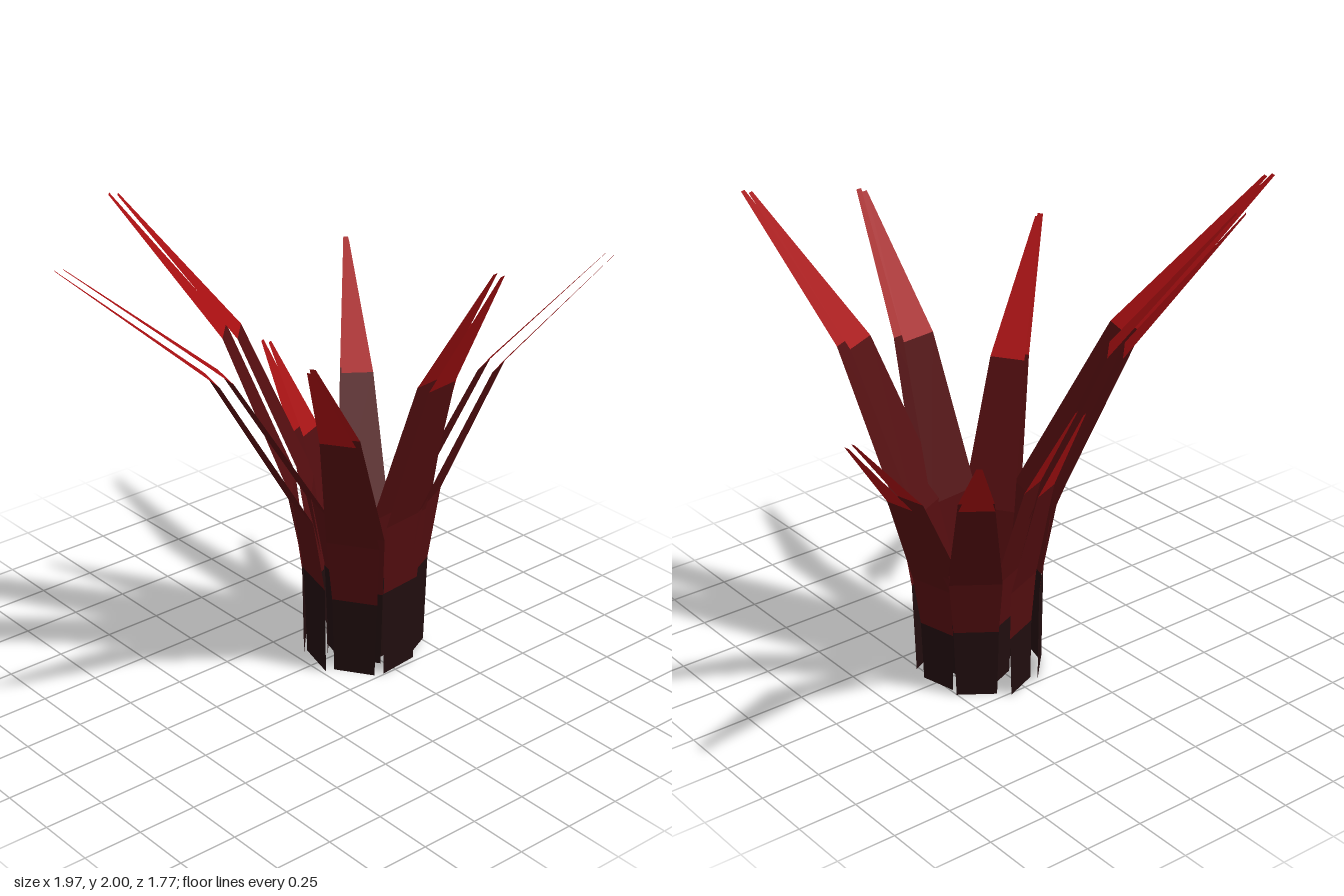
import * as THREE from 'three';

const mat = (name, color) => {
  const m = new THREE.MeshStandardMaterial({ color, flatShading: true, side: THREE.DoubleSide });
  m.name = name;
  return m;
};

// Leaf rows from base to tip: height and reach as fractions, then width and sheet gap
const ROWS = [
  { v: 0, u: 0, w: 0.19, gap: 0.1 },
  { v: 0.205, u: 0.015, w: 0.21, gap: 0.09 },
  { v: 0.375, u: 0.075, w: 0.245, gap: 0.08 },
  { v: 0.715, u: 0.43, w: 0.16, gap: 0.06 },
  { v: 1, u: 1, w: 0.025, gap: 0.035 },
];
const BAND_MATERIAL = [0, 1, 1, 2];

// Leaf tips, in order around the rosette (x, height, z)
const TIPS = [
  [0.76, 1.92, 0.88], [0.33, 1.88, 0.71], [-0.45, 1.65, 0.53], [-0.98, 1.93, -0.29],
  [-0.45, 2.0, -0.69], [0.15, 1.28, -0.49], [0.94, 1.43, -0.88], [0.98, 1.25, -0.12],
];
const CENTRE_X = 0.275, BASE_RADIUS = 0.185;

// A leaf is an outer and an inner sheet, open along its sides
function leafGeometry([tx, height, tz], angle) {
  const bx = CENTRE_X + BASE_RADIUS * Math.cos(angle);
  const bz = BASE_RADIUS * Math.sin(angle);
  const length = Math.hypot(tx - bx, tz - bz);
  const dx = (tx - bx) / length, dz = (tz - bz) / length;
  const reach = length - ROWS[4].gap / 2;
  const scale = 0.5 + 0.25 * height;
  const point = (row, side, sheet) => {
    const r = row.u * reach + sheet * row.gap / 2;
    const s = side * row.w * scale / 2;
    return [bx + dx * r - dz * s, row.v * height, bz + dz * r + dx * s];
  };
  const positions = [];
  const geometry = new THREE.BufferGeometry();
  BAND_MATERIAL.forEach((material, i) => {
    geometry.addGroup(i * 12, 12, material);
    for (const sheet of [1, -1]) {
      const a = point(ROWS[i], sheet, sheet), b = point(ROWS[i], -sheet, sheet);
      const c = point(ROWS[i + 1], -sheet, sheet), d = point(ROWS[i + 1], sheet, sheet);
      positions.push(...a, ...b, ...c, ...a, ...c, ...d);
    }
  });
  geometry.setAttribute('position', new THREE.Float32BufferAttribute(positions, 3));
  geometry.computeVertexNormals();
  return geometry;
}

export function createModel() {
  const model = new THREE.Group();
  model.name = 'spikyPlant';
  const materials = [
    mat('leafBaseBlackRed', 0x200d0e),
    mat('leafMiddleDarkRed', 0x520d0f),
    mat('leafTipRed', 0xa60f11),
  ];
  TIPS.forEach((tip, i) => {
    const leaf = new THREE.Mesh(leafGeometry(tip, (i + 1) * Math.PI / 4), materials);
    leaf.name = `leaf${i + 1}`;
    model.add(leaf);
  });
  return model;
}
